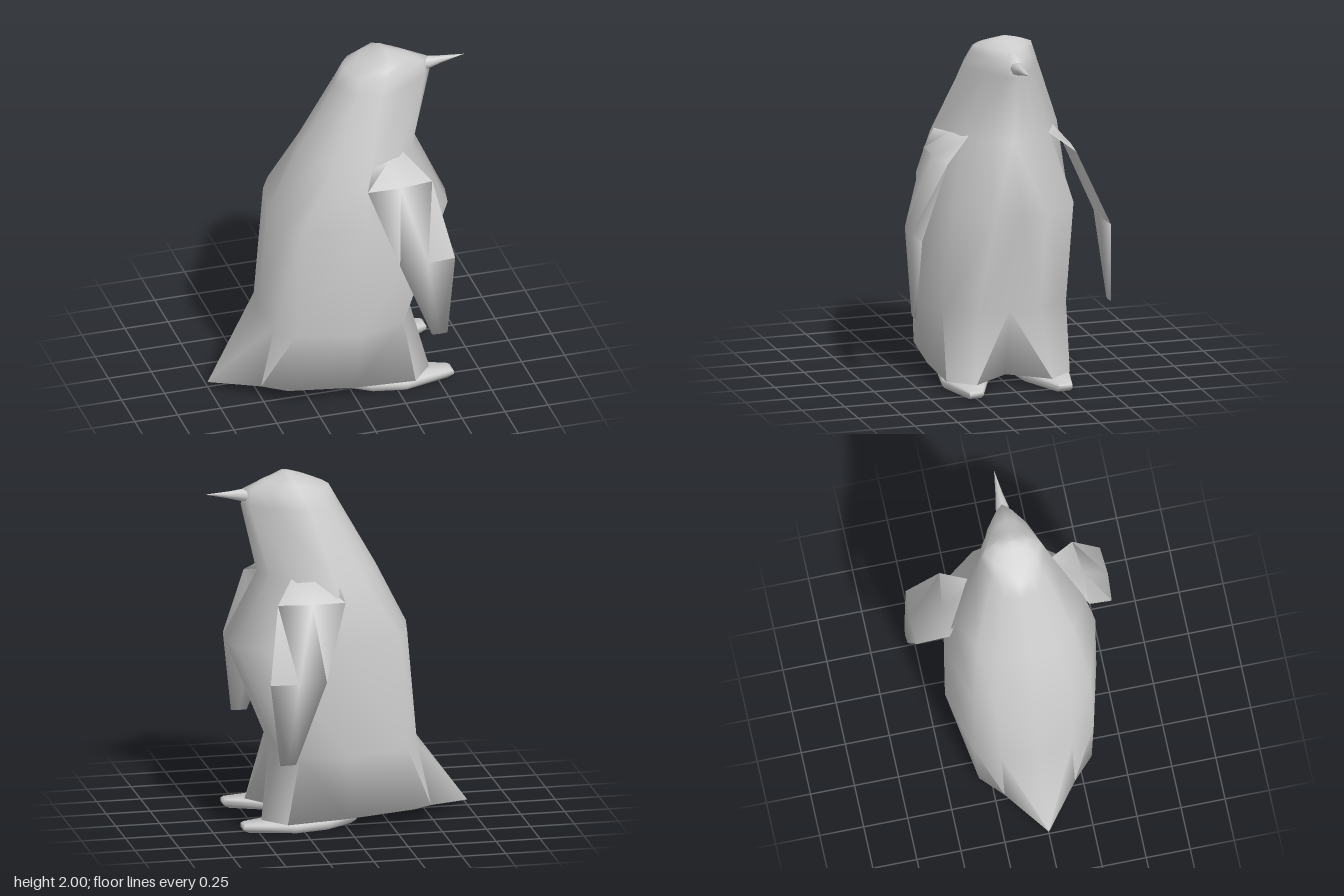
import * as THREE from 'three';
import { toCreasedNormals } from 'three/addons/utils/BufferGeometryUtils.js';

const material = new THREE.MeshStandardMaterial({ color: 0xcccccc });

// Skins a stack of rings (bottom to top), each a list of [x, y, z], and caps both ends.
function loft(rings, crease) {
  const n = rings[0].length;
  const pos = rings.flat(2);
  const index = [];
  for (let i = 0; i < rings.length - 1; i++) {
    for (let j = 0; j < n; j++) {
      const k = (j + 1) % n;
      const a = i * n + j, b = i * n + k;
      // Diagonals mirror between the two halves
      if (j < n / 2) index.push(a, b, b + n, a, b + n, a + n);
      else index.push(a, b, a + n, b, b + n, a + n);
    }
  }
  for (const top of [false, true]) {
    const start = top ? (rings.length - 1) * n : 0;
    const ring = top ? rings[rings.length - 1] : rings[0];
    const c = pos.length / 3;
    for (let k = 0; k < 3; k++) pos.push(ring.reduce((s, p) => s + p[k], 0) / n);
    for (let j = 0; j < n; j++) {
      const a = start + j, b = start + (j + 1) % n;
      index.push(...(top ? [c, a, b] : [c, b, a]));
    }
  }
  const g = new THREE.BufferGeometry();
  g.setAttribute('position', new THREE.Float32BufferAttribute(pos, 3));
  g.setIndex(index);
  return toCreasedNormals(g, crease);
}

function addMesh(group, name, geometry) {
  const mesh = new THREE.Mesh(geometry, material);
  mesh.name = name;
  group.add(mesh);
  return mesh;
}

// Half cross-sections: height, back x, five [x, z] from back to front, front x.
const bodySections = [
  [0.05, -0.75, [-0.5, 0.2], [-0.38, 0.32], [0, 0.36], [0.35, 0.36], [0.47, 0.22], 0.3],
  [0.44, -0.45, [-0.42, 0.2], [-0.34, 0.34], [0.02, 0.43], [0.28, 0.36], [0.37, 0.18], 0.38],
  [1.07, -0.4, [-0.36, 0.22], [-0.3, 0.33], [0.05, 0.43], [0.45, 0.35], [0.6, 0.15], 0.63],
  [1.43, -0.23, [-0.18, 0.16], [-0.1, 0.27], [0.08, 0.37], [0.28, 0.26], [0.4, 0.13], 0.45],
  [1.82, -0.01, [0.02, 0.1], [0.07, 0.17], [0.19, 0.22], [0.37, 0.13], [0.5, 0.05], 0.54],
  [1.91, 0.04, [0.06, 0.08], [0.1, 0.13], [0.23, 0.182], [0.4, 0.11], [0.49, 0.045], 0.53],
  [1.95, 0.14, [0.15, 0.07], [0.18, 0.12], [0.25, 0.165], [0.35, 0.1], [0.4, 0.05], 0.42],
  [1.98, 0.22, [0.23, 0.05], [0.25, 0.08], [0.28, 0.1], [0.31, 0.07], [0.33, 0.03], 0.34],
];

function bodyGeometry() {
  const rings = bodySections.map(([y, back, ...rest]) => {
    const front = rest.pop();
    const mirrored = rest.map(([x, z]) => [x, -z]).reverse();
    return [[back, 0], ...rest, [front, 0], ...mirrored].map(([x, z]) => [x, y, z]);
  });
  // The hem rises towards the sides behind the legs and drops at the tail tip
  for (const p of rings[0]) if (p[0] < 0.1) p[1] = 0.03 + 0.2 * Math.abs(p[2]) * (0.5 - p[0]);
  // The belly sticks out furthest a little lower than the back does
  for (const p of rings[2]) p[1] = 1.09 - 0.08 * Math.max(0, p[0]);
  // Crown of the head
  rings.push(rings[rings.length - 1].map(([x, , z]) => [0.28 + (x - 0.28) * 0.15, 2, z * 0.15]));
  return loft(rings, 1.7);
}

// Thin wing, its root sunk in the body: height, back [x, z], front [x, z], half thickness.
function flipperGeometry(side) {
  const shift = side < 0 ? -0.03 : 0;
  const rings = [
    [0.46, [0.38, 0.573], [0.47, 0.573], 0.004],
    [0.92, [0.2, 0.555], [0.52, 0.555], 0.012],
    [1.33, [0.06, 0.4], [0.44, 0.38], 0.016],
    [1.45, [0.1, 0.355], [0.32, 0.22], 0.012],
  ].map(([y, [xb, zb], [xf, zf], t]) => {
    const x = (xb + xf) / 2 + shift, z = side * (zb + zf) / 2;
    return [[xb + shift, y, side * zb], [x, y, z + t], [xf + shift, y, side * zf], [x, y, z - t]];
  });
  return loft(rings, 3);
}

// Flat webbed foot, widest in the middle, chamfered towards the sole.
function footGeometry(side) {
  const outline = [
    [-0.07, 0.22], [0.1, 0.33], [0.3, 0.37], [0.59, 0.3],
    [0.59, 0.22], [0.3, 0.1], [0.1, 0.08], [-0.07, 0.14],
  ];
  const rings = [[0, 0.9], [0.02, 1], [0.04, 1], [0.05, 0.95]].map(([y, s]) => {
    const ring = outline.map(([x, z]) =>
      [0.26 + (x - 0.26) * s, y, side * (0.23 + (z - 0.23) * s)]);
    return side > 0 ? ring : ring.reverse();
  });
  return loft(rings, 1.3);
}

export function createModel() {
  const model = new THREE.Group();
  model.name = 'penguin';

  addMesh(model, 'body', bodyGeometry());

  // Slender beak, sunk into the face
  const profile = [[0.03, 0], [0.038, 0.08], [0.021, 0.16], [0, 0.3]]
    .map(([r, h]) => new THREE.Vector2(r, h));
  const beak = addMesh(model, 'beak', new THREE.LatheGeometry(profile, 8));
  beak.position.set(0.445, 1.866, 0);
  beak.rotation.z = -Math.PI / 2 + 0.07;

  // The bird looks along +x, so its paired limbs lie on either side in z
  for (const [side, word] of [[1, 'near'], [-1, 'far']]) {
    addMesh(model, word + 'Flipper', flipperGeometry(side));
    addMesh(model, word + 'Foot', footGeometry(side));
  }
  return model;
}
